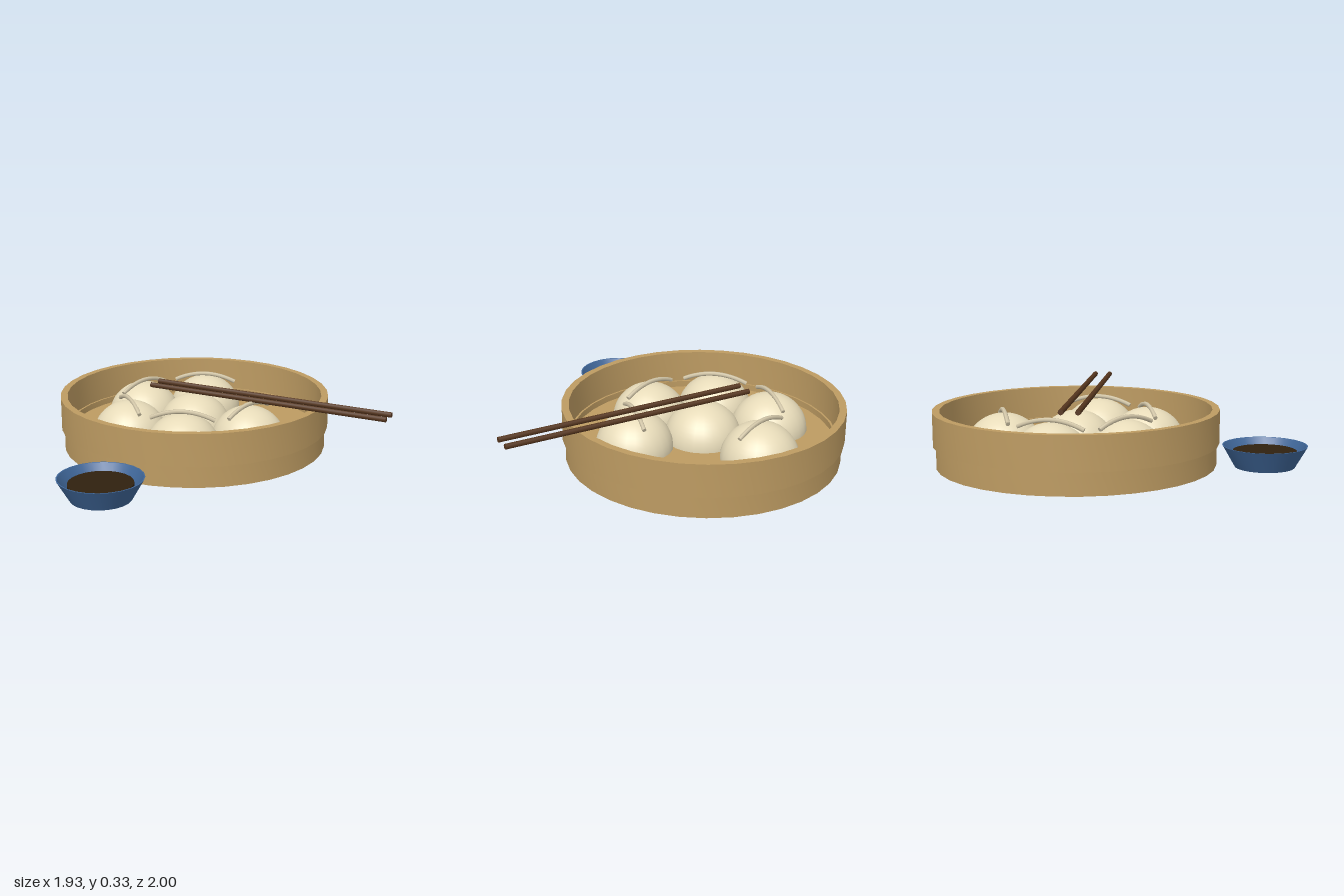
import * as THREE from 'three';
import { toCreasedNormals } from 'three/addons/utils/BufferGeometryUtils.js';

const material = (name, color) => {
  const m = new THREE.MeshStandardMaterial({ color });
  m.name = name;
  return m;
};

function add(parent, name, geometry, mat, x = 0, y = 0, z = 0) {
  const mesh = new THREE.Mesh(geometry, mat);
  mesh.name = name;
  mesh.position.set(x, y, z);
  parent.add(mesh);
  return mesh;
}

// Turned solid with crisp edges, profile given as [radius, height] pairs
const turned = (profile, sides) => toCreasedNormals(
  new THREE.LatheGeometry(profile.map(([r, y]) => new THREE.Vector2(r, y)), sides), 0.5);

export function createModel() {
  const model = new THREE.Group();
  model.name = 'dumplingSteamer';

  const bamboo = material('bamboo', 0xbd9b62);
  const dough = material('dough', 0xe8dcba);
  const foldDough = material('foldDough', 0xd4c8aa);
  const darkWood = material('darkWood', 0x56361e);
  const blueGlaze = material('blueGlaze', 0x3f6698);
  const sauceBrown = material('sauceBrown', 0x30210f);

  const floorY = 0.085;

  // Steamer basket: base with raised floor, and a slightly wider rim band
  const steamer = new THREE.Group();
  steamer.name = 'steamer';
  steamer.position.set(-0.2, 0, -0.235);
  model.add(steamer);
  add(steamer, 'basketBase', turned([
    [0, 0], [0.75, 0], [0.75, 0.12], [0.715, 0.12], [0.715, floorY], [0, floorY],
  ], 36), bamboo);
  add(steamer, 'basketRim', turned([
    [0.726, 0.12], [0.765, 0.12], [0.765, 0.3], [0.726, 0.3], [0.726, 0.12],
  ], 36), bamboo);

  // Dumplings: one in the middle, five on a ring of six places
  const dome = new THREE.SphereGeometry(0.21, 24, 12, 0, Math.PI * 2, 0, Math.PI / 2);
  dome.scale(1, 0.2 / 0.21, 1);
  const foldCurve = new THREE.QuadraticBezierCurve3(
    new THREE.Vector3(0, 0.172, -0.18),
    new THREE.Vector3(0, 0.258, 0),
    new THREE.Vector3(0, 0.172, 0.18));
  const fold = new THREE.TubeGeometry(foldCurve, 12, 0.012, 6);
  const foldEnd = new THREE.CircleGeometry(0.012, 6);

  add(steamer, 'middleDumpling', dome, dough, 0, floorY, 0);
  for (let i = 0; i < 5; i++) {
    const angle = 0.2 + i * Math.PI / 3;
    const dumpling = new THREE.Group();
    dumpling.name = 'dumpling';
    dumpling.position.set(0.39 * Math.cos(angle), floorY, 0.39 * Math.sin(angle));
    dumpling.rotation.y = -angle;
    steamer.add(dumpling);
    add(dumpling, 'dumplingBody', dome, dough);
    add(dumpling, 'dumplingFold', fold, foldDough);
    for (const side of [-1, 1]) {
      const cap = add(dumpling, 'foldEnd', foldEnd, foldDough, 0, 0.172, side * 0.18);
      cap.rotation.set(side * 0.445, side < 0 ? Math.PI : 0, 0);
    }
  }

  // Chopsticks lying across the rim
  const stick = new THREE.CylinderGeometry(0.015, 0.015, 1.425, 8);
  stick.rotateZ(Math.PI / 2);
  for (const z of [-0.28, -0.19]) add(model, 'chopstick', stick, darkWood, 0.252, 0.317, z);

  // Sauce cup
  const cup = new THREE.Group();
  cup.name = 'sauceCup';
  cup.position.set(-0.2, 0, 0.77);
  model.add(cup);
  add(cup, 'cupBowl', turned([
    [0, 0], [0.16, 0], [0.226, 0.115], [0.219, 0.115], [0.157, 0.008], [0, 0.008],
  ], 24), blueGlaze);
  add(cup, 'sauce', new THREE.CylinderGeometry(0.17, 0.17, 0.02, 24), sauceBrown, 0, 0.075, 0);

  return model;
}
